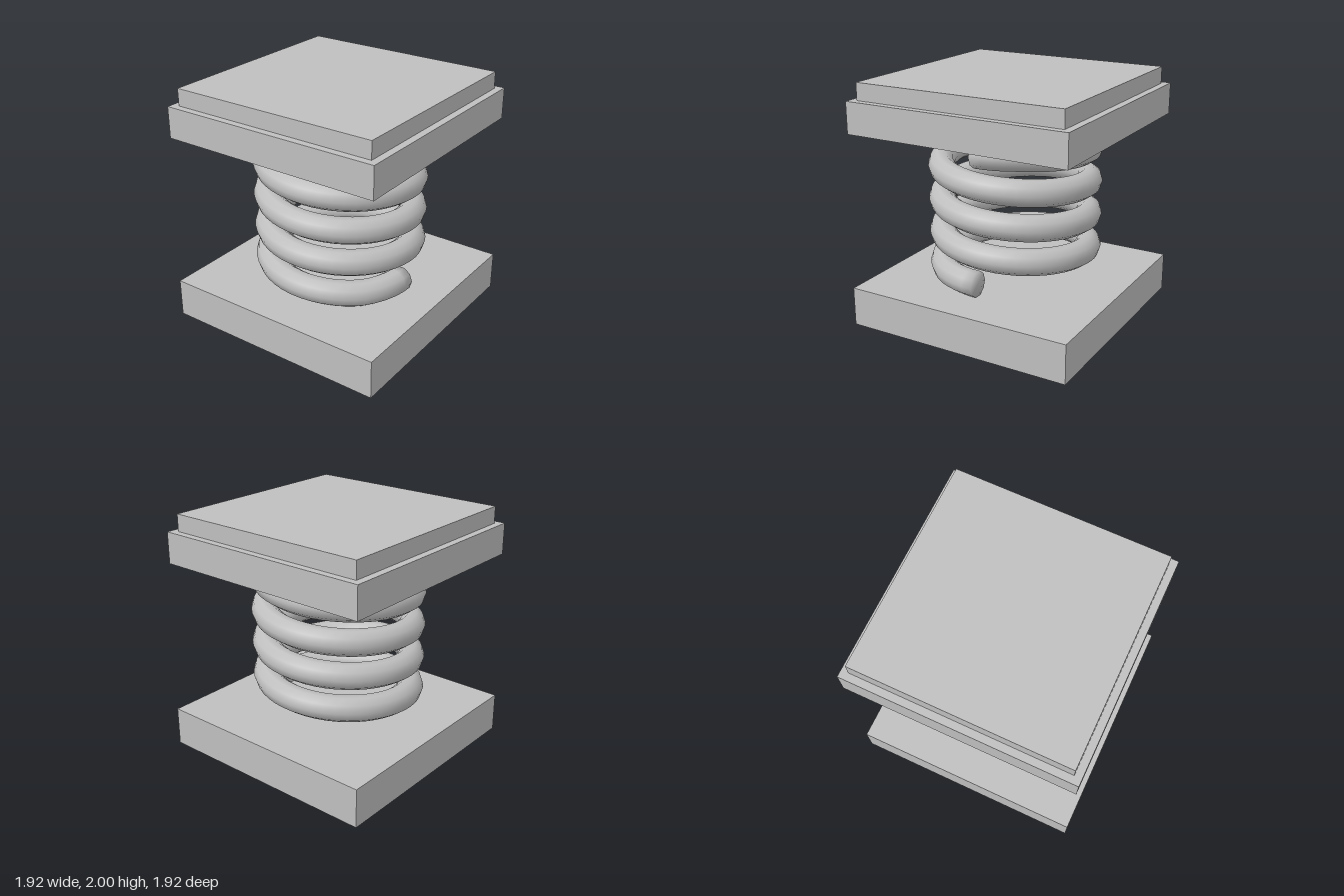
import * as THREE from 'three';

// Helical spring: ten-sided section swept round the y axis, levelled off at both ends
function springGeometry(radius, wire, turns, pitch, yStart, yMin, yMax) {
  const sides = 10, perTurn = 48, steps = turns * perTurn;
  const pos = [], index = [];
  const centre = (i) => {
    const t = i / perTurn;
    return { a: t * Math.PI * 2, y: Math.min(yMax, Math.max(yMin, yStart + pitch * t)) };
  };
  for (let i = 0; i <= steps; i++) {
    const { a, y } = centre(i);
    for (let j = 0; j < sides; j++) {
      const b = (j / sides) * Math.PI * 2;
      const r = radius + wire * Math.cos(b);
      pos.push(r * Math.cos(a), y + wire * Math.sin(b), r * Math.sin(a));
    }
  }
  for (let i = 0; i < steps; i++) {
    for (let j = 0; j < sides; j++) {
      const k = (j + 1) % sides;
      const p = i * sides + j, q = i * sides + k;
      index.push(p, q, p + sides, q, q + sides, p + sides);
    }
  }
  // End caps, sharing the rim so the shading rolls over
  for (const end of [0, steps]) {
    const { a, y } = centre(end);
    const c = pos.length / 3;
    pos.push(radius * Math.cos(a), y, radius * Math.sin(a));
    for (let j = 0; j < sides; j++) {
      const p = end * sides + j, q = end * sides + ((j + 1) % sides);
      if (end === 0) index.push(c, q, p);
      else index.push(c, p, q);
    }
  }
  const g = new THREE.BufferGeometry();
  g.setAttribute('position', new THREE.Float32BufferAttribute(pos, 3));
  g.setIndex(index);
  g.computeVertexNormals();
  return g;
}

export function createModel() {
  const group = new THREE.Group();
  const grey = new THREE.MeshStandardMaterial({ color: 0xbfbfbf });
  grey.name = 'plain grey';

  const slab = (name, width, y0, y1) => {
    const m = new THREE.Mesh(new THREE.BoxGeometry(width, y1 - y0, width), grey);
    m.position.y = (y0 + y1) / 2;
    m.name = name;
    group.add(m);
  };

  slab('basePlate', 1.92, 0, 0.322);
  slab('upperPlate', 1.88, 1.602, 1.86);
  slab('topPad', 1.76, 1.86, 2);

  const spring = new THREE.Mesh(springGeometry(0.6, 0.108, 4, 0.28, 0.4, 0.43, 1.495), grey);
  spring.name = 'coilSpring';
  group.add(spring);

  return group;
}
